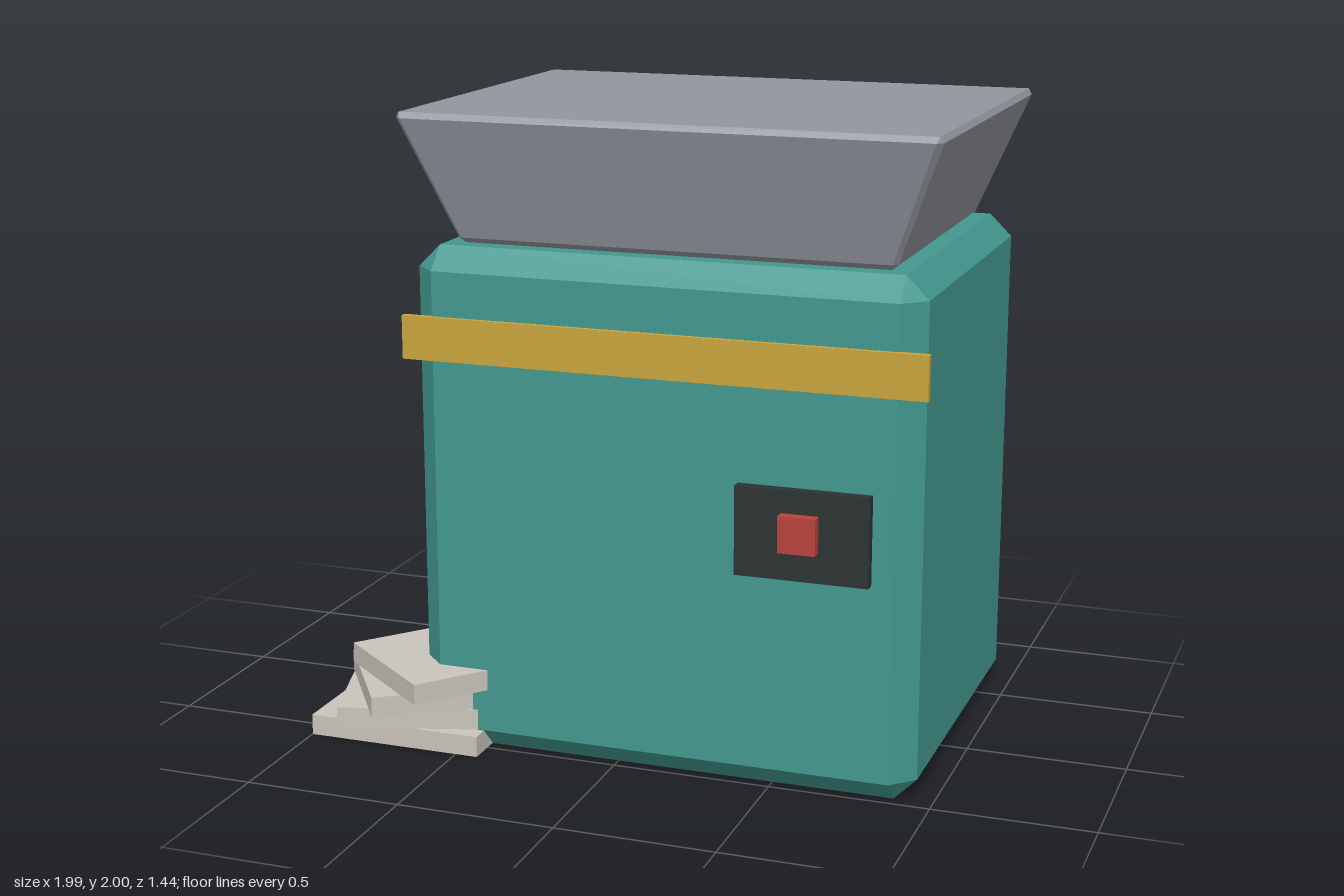
import * as THREE from 'three';
import { ConvexGeometry } from 'three/addons/geometries/ConvexGeometry.js';

const paint = (name, color) => {
  const m = new THREE.MeshStandardMaterial({ color });
  m.name = name;
  return m;
};

// Box with bevelled edges; the bottom can be narrower than the top
function bevelBox(w, h, d, b, bottomScale = 1) {
  const points = [];
  for (const sx of [-1, 1]) for (const sy of [-1, 1]) for (const sz of [-1, 1]) {
    for (let axis = 0; axis < 3; axis++) {
      const x = sx * (w / 2 - (axis === 0 ? 0 : b));
      const y = sy * (h / 2 - (axis === 1 ? 0 : b));
      const z = sz * (d / 2 - (axis === 2 ? 0 : b));
      const s = bottomScale + (1 - bottomScale) * (y / h + 0.5);
      points.push(new THREE.Vector3(x * s, y, z * s));
    }
  }
  return new ConvexGeometry(points);
}

export function createModel() {
  const model = new THREE.Group();
  const teal = paint('teal', 0x42988f);
  const grey = paint('grey', 0x92959d);
  const gold = paint('gold', 0xc9a53c);
  const black = paint('black', 0x2c3333);
  const red = paint('red', 0xb8423c);
  const stone = paint('stone', 0xc9c5bb);

  const add = (name, geometry, material, x, y, z) => {
    const mesh = new THREE.Mesh(geometry, material);
    mesh.name = name;
    mesh.position.set(x, y, z);
    model.add(mesh);
    return mesh;
  };

  // Machine body and the flared hopper on top
  add('body', bevelBox(1.59, 1.594, 1.25, 0.07), teal, 0.155, 0.799, -0.095);
  add('hopper', bevelBox(1.685, 0.405, 1.258, 0.018, 0.808), grey, 0.155, 1.7975, -0.095);

  // Front trim and controls
  add('band', new THREE.BoxGeometry(1.636, 0.135, 0.022), gold, 0.155, 1.32, 0.535);
  add('controlPanel', new THREE.BoxGeometry(0.41, 0.274, 0.04), black, 0.61, 0.822, 0.543);
  add('button', new THREE.BoxGeometry(0.115, 0.112, 0.04), red, 0.605, 0.833, 0.577);

  // Fanned stack of slabs at the front corner
  const slab = new THREE.BoxGeometry(0.572, 0.066, 0.45);
  for (let i = 0; i < 4; i++) {
    add('slab' + (i + 1), slab, stone, -0.712 + i * 0.05, 0.036 + i * 0.068, 0.361).rotation.y = i * 0.295;
  }
  return model;
}
